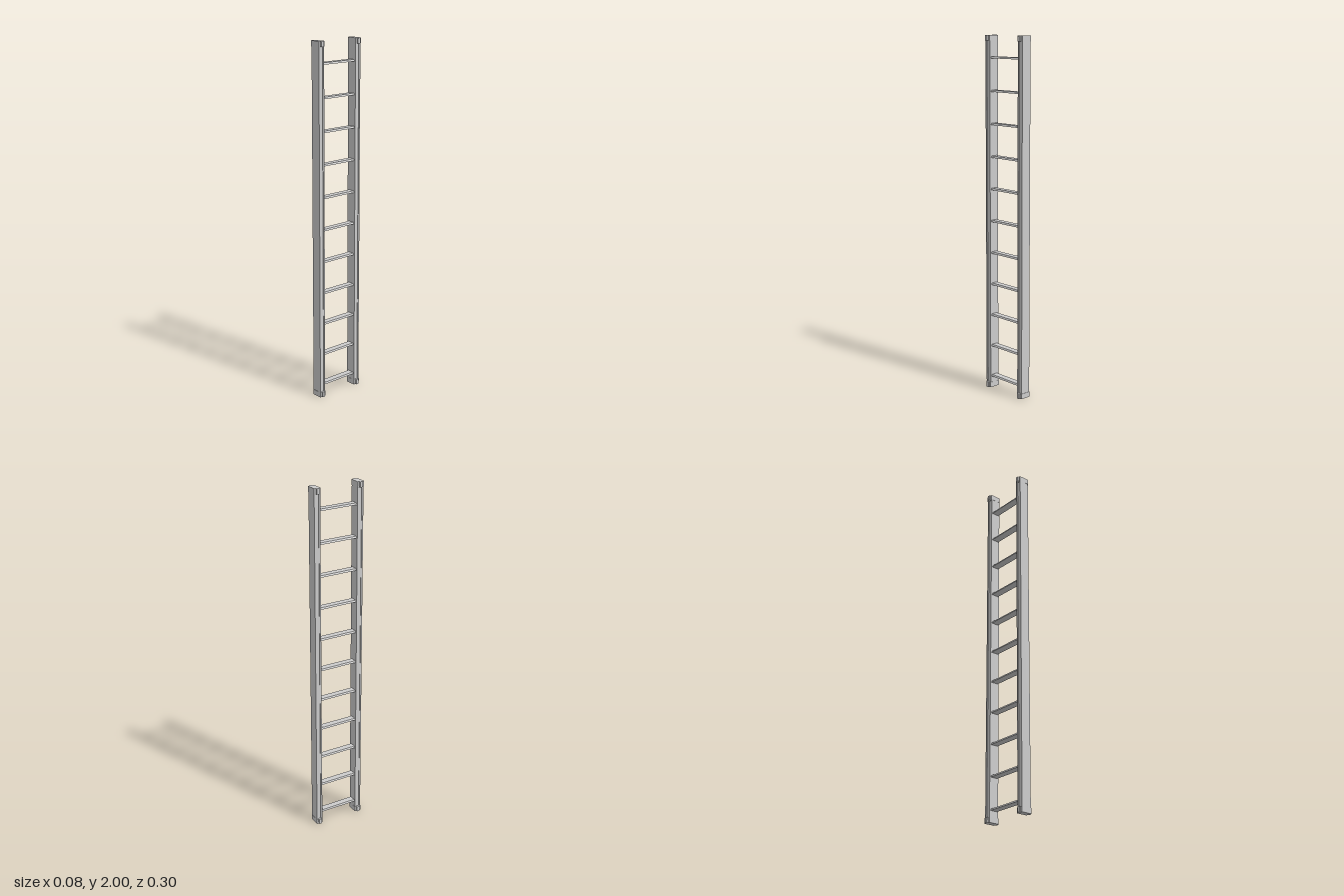
import * as THREE from 'three';

const material = new THREE.MeshStandardMaterial({ color: 0xcccccc, flatShading: true });

// Polygon mirrored across x from its +x half
function mirroredShape(half) {
  const other = half.map(([x, y]) => [-x, y]).reverse();
  return new THREE.Shape([...half, ...other].map(([x, y]) => new THREE.Vector2(x, y)));
}

function extrude(name, half, depth) {
  const geometry = new THREE.ExtrudeGeometry(mirroredShape(half), { depth, bevelEnabled: false });
  geometry.translate(0, 0, -depth / 2);
  const mesh = new THREE.Mesh(geometry, material);
  mesh.name = name;
  return mesh;
}

// Upright with a shallow groove down each narrow side, and a cross-shaped cap at both ends
function createRail(name, z) {
  const rail = new THREE.Group();
  rail.name = name;
  const post = extrude('post', [
    [0.029, -0.018], [0.029, -0.009], [0.025, -0.009],
    [0.025, 0.009], [0.029, 0.009], [0.029, 0.018],
  ], 1.99);
  post.rotation.x = -Math.PI / 2;
  post.position.y = 1;
  rail.add(post);

  const capHeight = 0.03;
  for (const [capName, y] of [['bottomCap', capHeight / 2], ['topCap', 2 - capHeight / 2]]) {
    const cap = extrude(capName, [
      [0.031, -0.019], [0.031, -0.008], [0.039, -0.008],
      [0.039, 0.008], [0.031, 0.008], [0.031, 0.019],
    ], capHeight);
    cap.rotation.x = -Math.PI / 2;
    cap.position.y = y;
    rail.add(cap);
  }
  rail.position.z = z;
  return rail;
}

export function createModel() {
  const ladder = new THREE.Group();
  ladder.name = 'ladder';
  ladder.add(createRail('frontRail', 0.13), createRail('backRail', -0.13));

  // Flat rungs with sloping long sides
  for (let i = 0; i < 11; i++) {
    const rung = extrude(`rung${i + 1}`, [[0.022, -0.005], [0.022, -0.003], [0.018, 0.005]], 0.226);
    rung.position.y = 0.07 + i * 0.181;
    ladder.add(rung);
  }
  return ladder;
}
